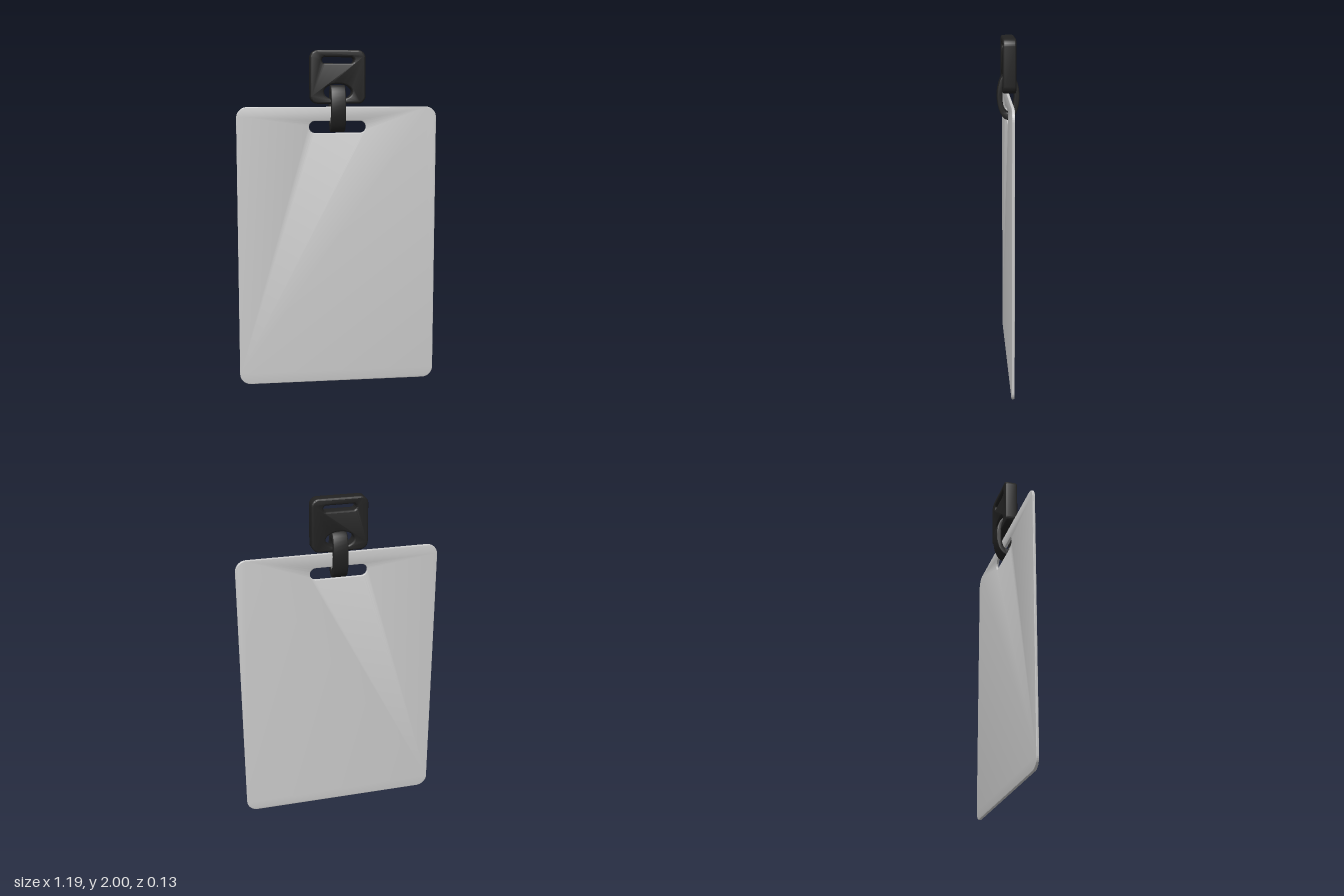
import * as THREE from 'three';
import { toCreasedNormals } from 'three/addons/utils/BufferGeometryUtils.js';

// Rounded rectangle centred on (0, cy), drawn on a Shape or a Path
function roundedRect(path, w, h, r, cy) {
  const x = w / 2, b = cy - h / 2, t = cy + h / 2;
  path.moveTo(-x + r, b);
  path.lineTo(x - r, b);
  path.absarc(x - r, b + r, r, -Math.PI / 2, 0);
  path.lineTo(x, t - r);
  path.absarc(x - r, t - r, r, 0, Math.PI / 2);
  path.lineTo(-x + r, t);
  path.absarc(-x + r, t - r, r, Math.PI / 2, Math.PI);
  path.lineTo(-x, b + r);
  path.absarc(-x + r, b + r, r, Math.PI, Math.PI * 1.5);
  return path;
}

function ellipse(path, cy, rx, ry) {
  path.absellipse(0, cy, rx, ry, 0, Math.PI * 2);
  return path;
}

// Extrusion of the given total depth, centred on z = 0, with softened rims
function slab(shape, depth, bevel) {
  const geo = new THREE.ExtrudeGeometry(shape, {
    depth: depth - 2 * bevel,
    bevelThickness: bevel, bevelSize: bevel, bevelOffset: -bevel, bevelSegments: 3,
    curveSegments: 16,
  });
  geo.translate(0, 0, bevel - depth / 2);
  return toCreasedNormals(geo, 0.7);
}

export function createModel() {
  const model = new THREE.Group();
  const grey = new THREE.MeshStandardMaterial({ color: 0xcccccc });
  const black = new THREE.MeshStandardMaterial({ color: 0x222222 });
  const add = (name, geo, mat) => {
    const mesh = new THREE.Mesh(geo, mat);
    mesh.name = name;
    model.add(mesh);
    return mesh;
  };

  // Card holder with a punched slot near the top
  const card = roundedRect(new THREE.Shape(), 1.19, 1.672, 0.065, 0.836);
  card.holes.push(roundedRect(new THREE.Path(), 0.338, 0.07, 0.0349, 1.554));
  add('cardHolder', slab(card, 0.016, 0.004), grey);

  // Clip plate with a lanyard slot above and an oval eye below
  const plate = roundedRect(new THREE.Shape(), 0.326, 0.31, 0.045, 1.845);
  plate.holes.push(roundedRect(new THREE.Path(), 0.19, 0.036, 0.0179, 1.942));
  plate.holes.push(ellipse(new THREE.Path(), 1.759, 0.083, 0.047));
  add('clipPlate', slab(plate, 0.076, 0.01), black).position.z = -0.002;

  // Oval strap loop joining the plate to the card slot
  const loop = ellipse(new THREE.Shape(), 1.662, 0.065, 0.138);
  loop.holes.push(ellipse(new THREE.Path(), 1.662, 0.034, 0.095));
  add('strapLoop', slab(loop, 0.088, 0.006).rotateY(Math.PI / 2), black);

  return model;
}
